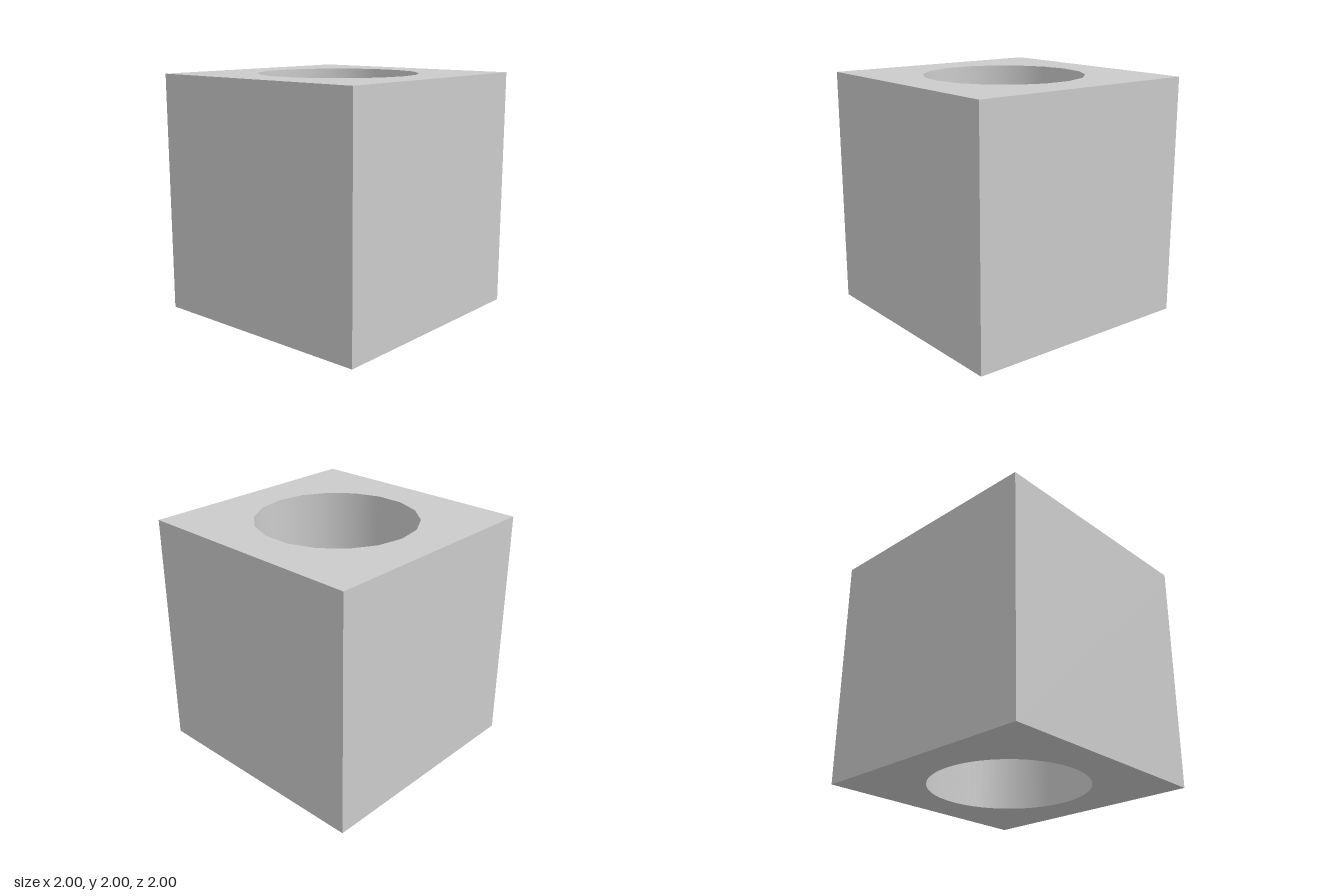
import * as THREE from 'three';

const TOP_SIDES = 18, FINE_SIDES = 72;
const TOP_RADIUS = 0.667, BOTTOM_RADIUS = 0.663;

// Square plate in the XY plane with a regular polygonal opening
function plateGeometry(radius, sides) {
  const shape = new THREE.Shape([[-1, -1], [1, -1], [1, 1], [-1, 1]].map(p => new THREE.Vector2(...p)));
  const rim = [];
  for (let i = 0; i < sides; i++) {
    const a = -i / sides * Math.PI * 2;
    rim.push(new THREE.Vector2(Math.cos(a) * radius, Math.sin(a) * radius));
  }
  shape.holes.push(new THREE.Path(rim));
  return new THREE.ShapeGeometry(shape);
}

// Smooth inward-facing wall, blending the 18-sided top rim into the round bottom rim
function boreGeometry() {
  const geo = new THREE.CylinderGeometry(1, 1, 2, FINE_SIDES, 1, true).translate(0, 1, 0);
  const pos = geo.attributes.position, normal = geo.attributes.normal;
  const step = Math.PI * 2 / TOP_SIDES;
  for (let i = 0; i < pos.count; i++) {
    const x = pos.getX(i), z = pos.getZ(i);
    const a = Math.atan2(z, x) + Math.PI * 2;
    const polygon = TOP_RADIUS * Math.cos(step / 2) / Math.cos(a % step - step / 2);
    const r = pos.getY(i) > 1 ? polygon : BOTTOM_RADIUS;
    pos.setX(i, x * r);
    pos.setZ(i, z * r);
    normal.setXYZ(i, -x, 0, -z);
  }
  geo.index.array.reverse(); // turn the faces inwards
  return geo;
}

export function createModel() {
  const group = new THREE.Group();
  const material = new THREE.MeshStandardMaterial({ color: 0xcccccc });
  const add = (name, geometry) => {
    const mesh = new THREE.Mesh(geometry, material);
    mesh.name = name;
    group.add(mesh);
  };

  // Four outer walls
  ['frontWall', 'leftWall', 'backWall', 'rightWall'].forEach((name, i) =>
    add(name, new THREE.PlaneGeometry(2, 2).translate(0, 1, 1).rotateY(i * Math.PI / 2)));

  // Pierced top and bottom faces
  add('topFace', plateGeometry(TOP_RADIUS, TOP_SIDES).rotateX(-Math.PI / 2).translate(0, 2, 0));
  add('bottomFace', plateGeometry(BOTTOM_RADIUS, FINE_SIDES).rotateX(Math.PI / 2));

  // Through hole
  add('boreWall', boreGeometry());
  return group;
}
